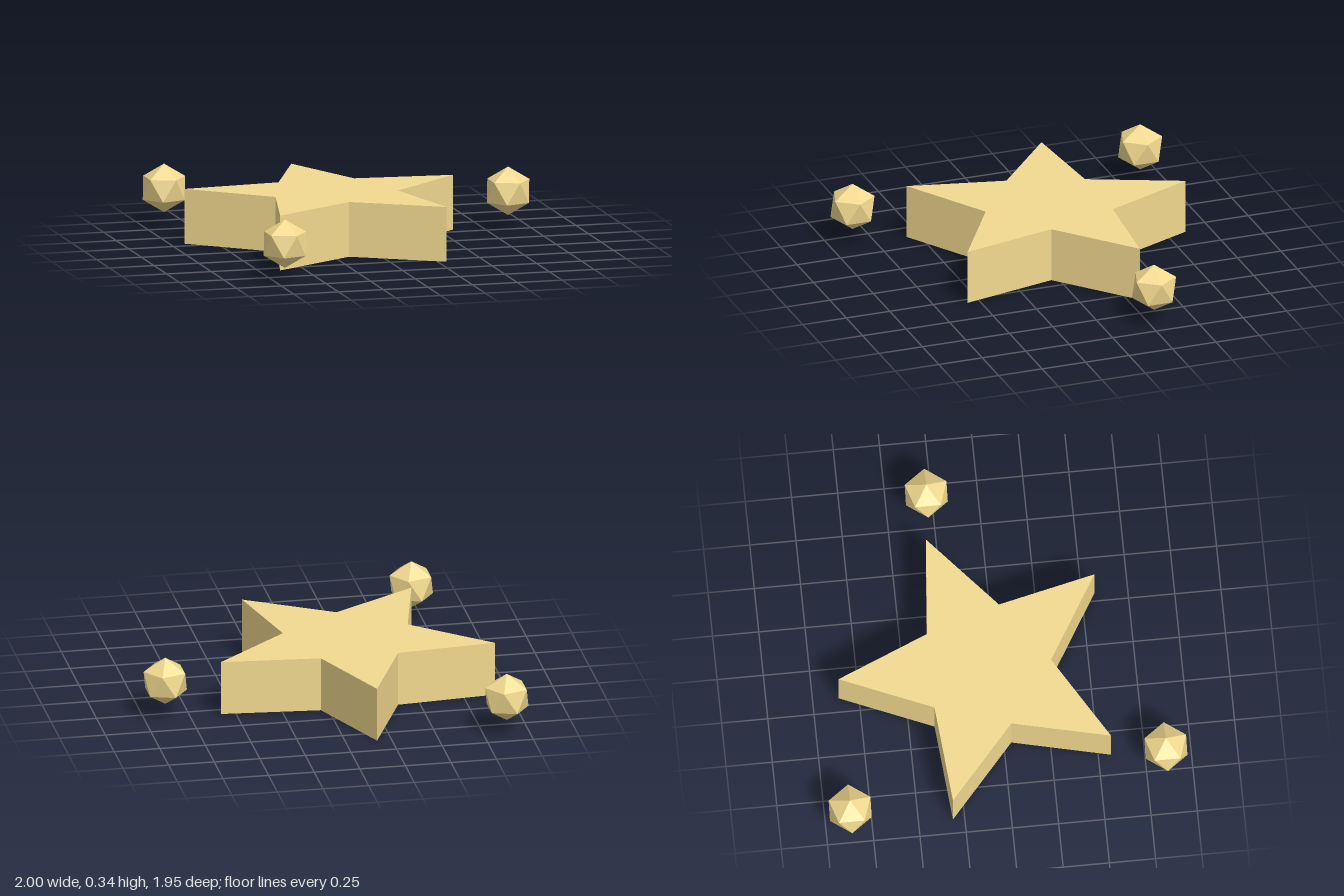
import * as THREE from 'three';

export function createModel() {
  const model = new THREE.Group();
  const material = new THREE.MeshStandardMaterial({ color: 0xf2d98f, flatShading: true });

  // Five-pointed star plate lying flat, one point towards the back
  const outline = new THREE.Shape(Array.from({ length: 10 }, (_, i) => {
    const radius = i % 2 ? 0.36 : 0.79;
    const angle = Math.PI / 2 + i * Math.PI / 5;
    return new THREE.Vector2(radius * Math.cos(angle), radius * Math.sin(angle));
  }));
  const plate = new THREE.ExtrudeGeometry(outline, { depth: 0.3, bevelEnabled: false });
  plate.rotateX(-Math.PI / 2);
  const star = new THREE.Mesh(plate, material);
  star.name = 'star';
  star.position.set(-0.17, 0, -0.07);
  model.add(star);

  // Faceted balls floating around the star, each with a corner straight up
  const ballGeometry = new THREE.IcosahedronGeometry(0.133, 0);
  ballGeometry.rotateZ(-Math.atan(2 / (1 + Math.sqrt(5))));
  [[-0.88, -0.866], [0.88, -0.283], [-0.69, 0.86]].forEach(([x, z], i) => {
    const ball = new THREE.Mesh(ballGeometry, material);
    ball.name = `ball${i + 1}`;
    ball.position.set(x, 0.203, z);
    model.add(ball);
  });

  return model;
}
